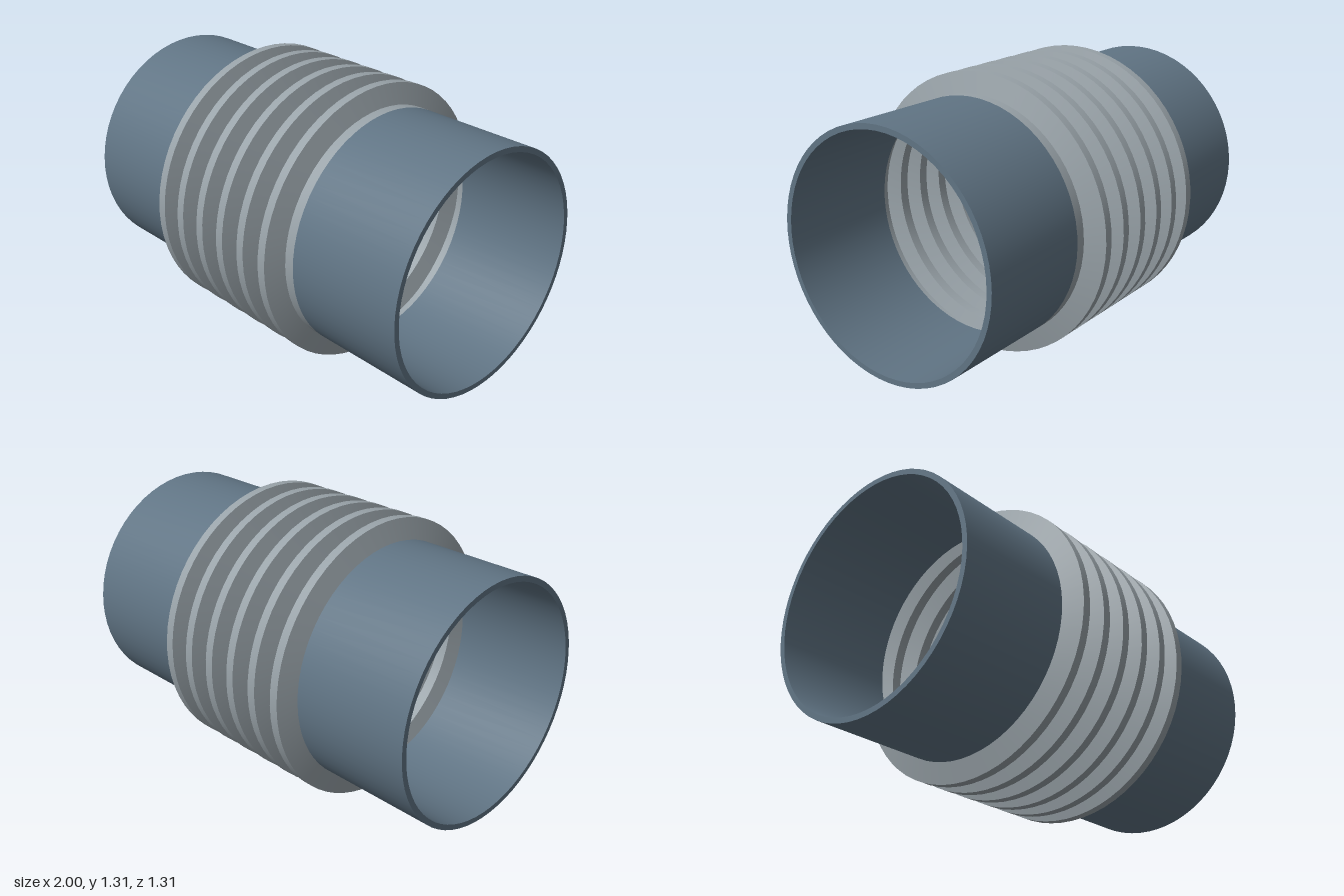
import * as THREE from 'three';
import { toCreasedNormals } from 'three/addons/utils/BufferGeometryUtils.js';

const AXIS_Y = 0.655;
const PIPE_R = 0.56, BORE_R = 0.535, CREST_R = 0.655;
const BELLOWS_END = 0.42, FOLDS = 6;

// Revolve [x, radius] points around the x axis, keeping profile corners sharp
function revolve(name, profile, segments, material) {
  const points = profile.map(([x, r]) => new THREE.Vector2(r, x));
  const geometry = new THREE.LatheGeometry(points, segments);
  geometry.rotateZ(-Math.PI / 2);
  const mesh = new THREE.Mesh(toCreasedNormals(geometry, Math.PI / 6), material);
  mesh.name = name;
  mesh.position.y = AXIS_Y;
  return mesh;
}

export function createModel() {
  const group = new THREE.Group();
  group.name = 'expansionJoint';
  const pipeMaterial = new THREE.MeshStandardMaterial({ color: 0x607484 });
  const bellowsMaterial = new THREE.MeshStandardMaterial({ color: 0x98a2a8, side: THREE.DoubleSide });

  // Pipe ends: hollow tubes with closed annular rims
  const pipe = (name, x0, x1) => revolve(name, [
    [x0, BORE_R], [x0, PIPE_R], [x1, PIPE_R], [x1, BORE_R], [x0, BORE_R],
  ], 64, pipeMaterial);
  group.add(pipe('leftPipe', BELLOWS_END, 1));
  group.add(pipe('rightPipe', -1, -BELLOWS_END));

  // Bellows: thin corrugated sleeve with trapezoidal folds
  const pitch = 2 * BELLOWS_END / FOLDS;
  const profile = [];
  for (let i = 0; i < FOLDS; i++) {
    const x = -BELLOWS_END + i * pitch;
    profile.push([x, PIPE_R], [x + 0.025, CREST_R], [x + 0.067, CREST_R], [x + 0.092, PIPE_R]);
  }
  profile.push([BELLOWS_END, PIPE_R]);
  group.add(revolve('bellows', profile, 64, bellowsMaterial));

  return group;
}
